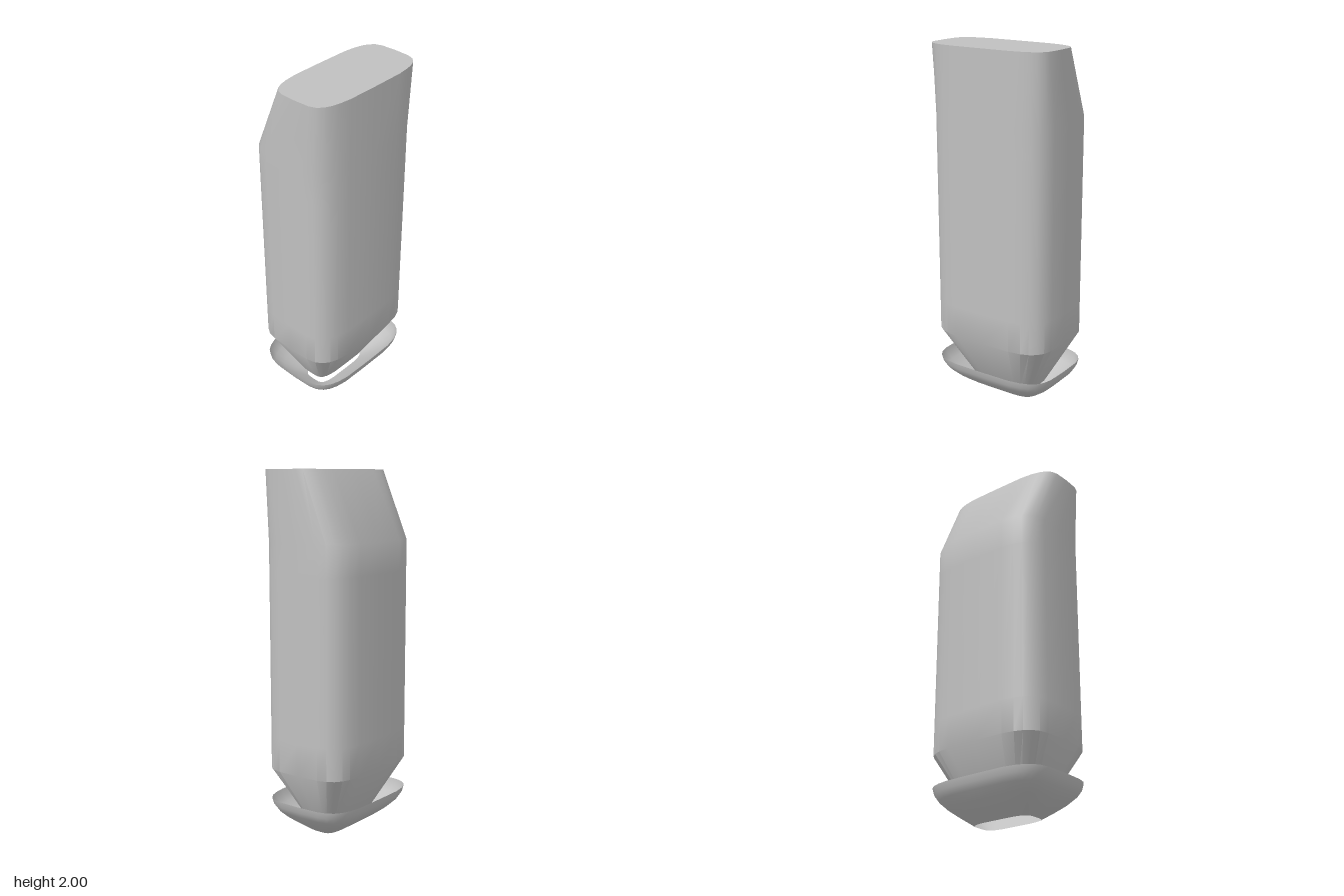
import * as THREE from 'three';
import { toCreasedNormals } from 'three/addons/utils/BufferGeometryUtils.js';

// One quarter of the rounded-rectangle outline, from the side to the front
const QUARTER = [
  [0.372, 0], [0.368, 0.13], [0.355, 0.183], [0.33, 0.22],
  [0.295, 0.245], [0.25, 0.262], [0.18, 0.274], [0, 0.276],
];
const HALF_X = 0.372, HALF_Z = 0.276;

// Mirror the quarter into a closed unit outline running from +x towards +z
function makeOutline() {
  const q = QUARTER.map(([x, z]) => [x / HALF_X, z / HALF_Z]);
  const half = [...q, ...q.slice(0, -1).reverse().map(([x, z]) => [-x, z])];
  return [...half, ...half.slice(1, -1).reverse().map(([x, z]) => [x, -z])];
}

// Skin a stack of rings; each ring is [y, half width, back z, front z]
function loft(rings, capped, crease) {
  const outline = makeOutline();
  const n = outline.length;
  const positions = [];
  const index = [];
  for (const [y, w, back, front] of rings) {
    for (const [x, z] of outline) {
      positions.push(x * w, y, (front + back) / 2 + z * (front - back) / 2);
    }
  }
  for (let r = 0; r < rings.length - 1; r++) {
    for (let i = 0; i < n; i++) {
      const a = r * n + i, b = r * n + (i + 1) % n;
      index.push(a, a + n, b, b, a + n, b + n);
    }
  }
  if (capped) {
    const last = rings.length - 1;
    for (const r of [0, last]) {
      const [y, , back, front] = rings[r];
      const center = positions.length / 3;
      positions.push(0, y, (front + back) / 2);
      for (let i = 0; i < n; i++) {
        const a = r * n + i, b = r * n + (i + 1) % n;
        if (r === last) index.push(center, b, a);
        else index.push(center, a, b);
      }
    }
  }
  const geometry = new THREE.BufferGeometry();
  geometry.setAttribute('position', new THREE.Float32BufferAttribute(positions, 3));
  geometry.setIndex(index);
  return toCreasedNormals(geometry, crease);
}

export function createModel() {
  const group = new THREE.Group();
  group.name = 'keyStalk';
  const grey = new THREE.MeshStandardMaterial({ color: 0xc0c0c0, side: THREE.DoubleSide });
  grey.name = 'light grey';

  // Tall body: tapered foot, straight shaft, top sloped away at the back
  const body = new THREE.Mesh(loft([
    [0.07, 0.21, -0.105, 0.105],
    [0.37, HALF_X, -HALF_Z, HALF_Z],
    [0.55, HALF_X, -HALF_Z, HALF_Z],
    [1.45, HALF_X, -HALF_Z, HALF_Z],
    [1.62, HALF_X, -HALF_Z, HALF_Z],
    [2, HALF_X, -0.097, HALF_Z],
  ], true, 0.56), grey);
  body.name = 'body';
  group.add(body);

  // Thin flared dish around the foot, open above and below
  const dishProfile = [
    [0, 0.185, 0.082], [0.045, 0.25, 0.15], [0.085, 0.302, 0.205],
    [0.125, 0.342, 0.247], [0.16, 0.364, 0.268], [0.195, HALF_X, HALF_Z],
  ];
  const dish = new THREE.Mesh(
    loft(dishProfile.map(([y, w, d]) => [y, w, -d, d]), false, 0.9), grey);
  dish.name = 'dish';
  group.add(dish);

  return group;
}
